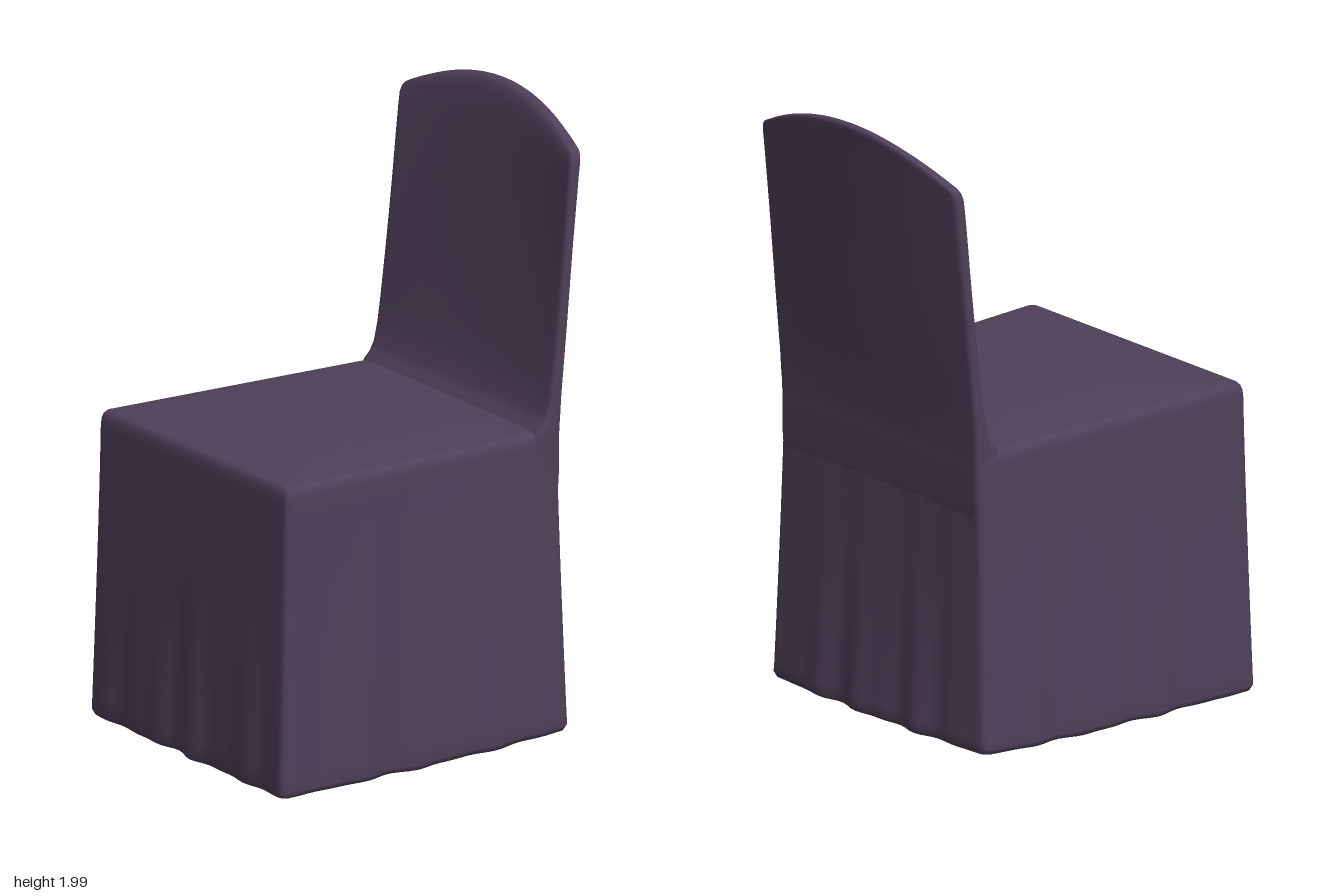
import * as THREE from 'three';

const PER_SIDE = 56;

// Rounded square in [-1, 1], counterclockwise from above, denser near the corners
function roundedSquare(rx, rz) {
  const pts = [];
  const turn = [(t) => [t, 1], (t) => [1, -t], (t) => [-t, -1], (t) => [-1, t]];
  for (let side = 0; side < 4; side++) {
    for (let i = 0; i < PER_SIDE; i++) {
      const t = Math.sin((Math.PI / 2) * ((2 * i) / PER_SIDE - 1));
      const [u, v] = turn[side](t);
      const qu = THREE.MathUtils.clamp(u, rx - 1, 1 - rx);
      const qv = THREE.MathUtils.clamp(v, rz - 1, 1 - rz);
      const du = (u - qu) / rx, dv = (v - qv) / rz;
      const len = Math.hypot(du, dv) || 1;
      pts.push({ u: qu + (rx * du) / len, v: qv + (rz * dv) / len, side, t });
    }
  }
  return pts;
}

// Closed skin through rings of equal length, listed from bottom to top
function loft(rings) {
  const n = rings[0].length, index = [];
  for (let r = 0; r < rings.length - 1; r++) {
    for (let i = 0; i < n; i++) {
      const j = (i + 1) % n;
      const a = r * n + i, b = r * n + j, c = b + n, d = a + n;
      index.push(a, b, c, a, c, d);
    }
  }
  const geometry = new THREE.BufferGeometry();
  geometry.setAttribute('position', new THREE.Float32BufferAttribute(rings.flat(2), 3));
  geometry.setIndex(index);
  geometry.computeVertexNormals();
  return geometry;
}

// Fabric cover of the seat, flaring and rippling towards the hem
function skirtGeometry() {
  const outline = roundedSquare(0.045, 0.045);
  // corner order: front left-hand, front right-hand, back right-hand, back left-hand (as x, z)
  const top = [[-0.492, 0.57], [0.49, 0.57], [0.488, -0.472], [-0.425, -0.472]];
  const hem = [[-0.535, 0.575], [0.505, 0.602], [0.522, -0.49], [-0.467, -0.488]];
  const phase = [0.4, 1.7, 2.9, 4.1];
  const out = [[0, 1], [1, 0], [0, -1], [-1, 0]];
  // rows of height and scale about the centre
  const rows = [[0.022, 0], [0.02, 0.6], [0.014, 0.95], [0.018, 0.985], [0.035, 1]];
  for (let y = 0.08; y < 0.95; y += 0.06) rows.push([y, 1]);
  rows.push([0.965, 1], [0.985, 0.997], [1.0, 0.989], [1.009, 0.975], [1.013, 0.95],
    [1.017, 0.85], [1.02, 0.6], [1.02, 0.3], [1.02, 0]);

  return loft(rows.map(([y, scale]) => {
    const flare = Math.pow(Math.max(0, 1 - y), 1.25);
    const fold = Math.pow(Math.max(0, 1 - y), 2.2);
    const c = top.map((p, k) => p.map((q, m) => q + (hem[k][m] - q) * flare));
    return outline.map(({ u, v, side, t }) => {
      const a = (u * scale + 1) / 2, b = (v * scale + 1) / 2;
      const mix = (m) => b * ((1 - a) * c[0][m] + a * c[1][m]) + (1 - b) * ((1 - a) * c[3][m] + a * c[2][m]);
      const wave = Math.sin(t * 13 + phase[side]) * 0.6 + Math.sin(t * 21 + phase[side] * 2) * 0.4;
      const bulge = side === 2 ? 0.02 : 0;
      const push = scale * fold * (1 - t * t) * (0.014 * wave + bulge);
      // the seat dips to the back and the hem lifts there
      const x = mix(0) + out[side][0] * push, z = mix(1) + out[side][1] * push;
      const dip = y > 0.97 ? 0.012 * (b - 0.7) : 0;
      const lift = y < 0.06 ? 0.02 * Math.pow(1 - b, 4) : 0;
      return [x, y + dip + lift, z];
    });
  }));
}

// Thin leaning back with an arched top, bowed backwards in the middle
function backGeometry() {
  const outline = roundedSquare(0.035, 0.7);
  // rows of height, front z, back z, side inset
  const rows = [
    [0.75, -0.44, -0.44, 0.02], [0.751, -0.42, -0.472, 0.006], [0.85, -0.4, -0.477, 0], [0.98, -0.375, -0.479, 0],
    [1.01, -0.39, -0.48, 0], [1.03, -0.412, -0.482, 0], [1.06, -0.43, -0.485, 0],
    [1.12, -0.446, -0.491, 0], [1.2, -0.46, -0.502, 0], [1.35, -0.483, -0.522, 0],
    [1.5, -0.504, -0.541, 0], [1.65, -0.523, -0.56, 0], [1.8, -0.54, -0.58, 0],
    [1.9, -0.552, -0.593, 0], [1.95, -0.559, -0.6, 0], [1.975, -0.566, -0.604, 0.004],
    [1.99, -0.574, -0.606, 0.011], [1.998, -0.583, -0.604, 0.02], [2.0, -0.595, -0.595, 0.03],
  ];
  return loft(rows.map(([y, front, back, inset]) => {
    const s = THREE.MathUtils.clamp(y - 1, 0, 1);
    const left = -0.425 + 0.013 * s + inset, right = 0.491 - 0.005 * s - inset;
    return outline.map(({ u, v }) => [
      left + ((right - left) * (u + 1)) / 2,
      y - 0.11 * u * u * s * s,
      back + ((front - back) * (v + 1)) / 2 + 0.043 * u * u * s,
    ]);
  }));
}

export function createModel() {
  const fabric = new THREE.MeshStandardMaterial({ color: 0x4e4059 });
  fabric.name = 'plumFabric';

  const chair = new THREE.Group();
  chair.name = 'coveredChair';
  const parts = { seatSkirt: skirtGeometry(), backrest: backGeometry() };
  for (const [name, geometry] of Object.entries(parts)) {
    const mesh = new THREE.Mesh(geometry, fabric);
    mesh.name = name;
    chair.add(mesh);
  }
  return chair;
}
